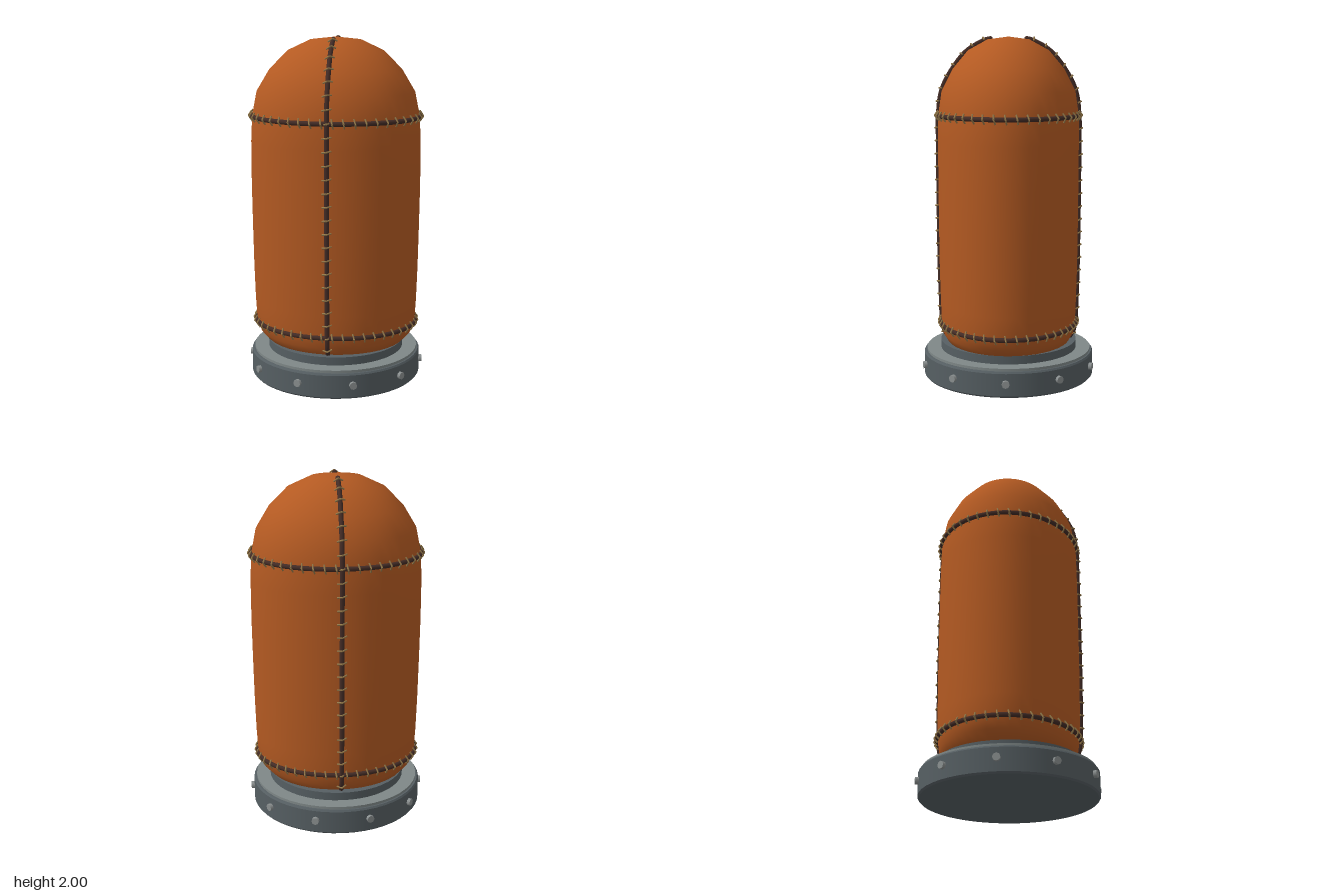
import * as THREE from 'three';
import { mergeGeometries, mergeVertices } from 'three/addons/utils/BufferGeometryUtils.js';

const material = (name, color) => {
  const m = new THREE.MeshStandardMaterial({ color });
  m.name = name;
  return m;
};

// Body profile: [height, half width, half depth]
const PROFILE = [
  [0.2, 0, 0], [0.2, 0.38, 0.34], [0.215, 0.41, 0.365], [0.26, 0.455, 0.39], [0.33, 0.476, 0.4],
  [0.45, 0.483, 0.404], [0.65, 0.489, 0.409], [0.9, 0.493, 0.411], [1.15, 0.496, 0.412],
  [1.4, 0.495, 0.412], [1.55, 0.487, 0.41], [1.69, 0.459, 0.389], [1.815, 0.384, 0.325],
  [1.922, 0.278, 0.235], [1.984, 0.146, 0.122], [2, 0, 0],
];

// Lathe squashed to an ellipse row by row
function bodyGeometry() {
  const geo = new THREE.LatheGeometry(PROFILE.map(([y, a]) => new THREE.Vector2(a, y)), 40);
  const pos = geo.attributes.position;
  for (let i = 0; i < pos.count; i++) {
    const [, a, c] = PROFILE[i % PROFILE.length];
    if (a > 0) pos.setZ(i, pos.getZ(i) * c / a);
  }
  geo.deleteAttribute('uv');
  geo.deleteAttribute('normal');
  const merged = mergeVertices(geo, 1e-5);
  merged.computeVertexNormals();
  return merged;
}

// Thin bar between two points
function bar(a, b, radius) {
  const dir = b.clone().sub(a);
  const geo = new THREE.CylinderGeometry(radius, radius, dir.length(), 6);
  geo.applyQuaternion(new THREE.Quaternion().setFromUnitVectors(new THREE.Vector3(0, 1, 0), dir.normalize()));
  const mid = a.clone().add(b).multiplyScalar(0.5);
  return geo.translate(mid.x, mid.y, mid.z);
}

// Bent stitches over a cord; side points across it
function stitchGeometry(curve, count, side) {
  const parts = [];
  for (let i = 0; i < count; i++) {
    const t = (i + 0.5) / count;
    const p = curve.getPointAt(t);
    const along = curve.getTangentAt(t);
    const out = side.clone().cross(along).normalize();
    const apex = p.clone().addScaledVector(out, 0.018);
    for (const s of [-1, 1]) {
      const end = p.clone().addScaledVector(side, s * 0.026).addScaledVector(along, s * 0.005);
      parts.push(bar(end, apex, 0.005));
    }
  }
  return mergeGeometries(parts);
}

export function createModel() {
  const model = new THREE.Group();
  model.name = 'stitchedPunchingBag';
  const leather = material('orange leather', 0xb45a22);
  const cordMat = material('dark brown cord', 0x432c26);
  const thread = material('tan thread', 0x94794a);
  const steel = material('dark steel', 0x565f63);
  const lipMat = material('grey steel', 0x7f8888);
  const boltMat = material('bolt metal', 0x8c9191);

  const add = (name, geo, mat, parent = model) => {
    const mesh = new THREE.Mesh(geo, mat);
    mesh.name = name;
    parent.add(mesh);
    return mesh;
  };
  const disc = (name, radius, y0, y1, mat) =>
    add(name, new THREE.CylinderGeometry(radius, radius, y1 - y0, 48).translate(0, (y0 + y1) / 2, 0), mat);

  // Base
  const rim = [[0, 0], [0.496, 0], [0.505, 0.01], [0.505, 0.14], [0.498, 0.15], [0, 0.15]];
  for (let i = 0; i < rim.length - 1; i++) {
    const pts = [rim[i], rim[i + 1]].map(([r, y]) => new THREE.Vector2(r, y));
    add('basePlate', new THREE.LatheGeometry(pts, 48), steel);
  }
  disc('baseLip', 0.488, 0.15, 0.165, lipMat);
  disc('neck', 0.405, 0.165, 0.213, steel);

  // Bolts around the base
  const bolts = new THREE.Group();
  bolts.name = 'bolts';
  model.add(bolts);
  for (let i = 0; i < 10; i++) {
    const geo = new THREE.CylinderGeometry(0.022, 0.022, 0.04, 8);
    geo.rotateZ(Math.PI / 2).translate(0.503, 0.083, 0).rotateY(i * Math.PI / 5);
    add('bolt', geo, boltMat, bolts);
  }

  // Body
  add('body', bodyGeometry(), leather);

  // Seams: cord with stitches
  const seam = (name, curve, count, side, closed) => {
    const group = new THREE.Group();
    group.name = name;
    model.add(group);
    add('cord', new THREE.TubeGeometry(curve, 80, 0.0135, 8, closed), cordMat, group);
    add('stitches', stitchGeometry(curve, count, side), thread, group);
    if (!closed) {
      for (const t of [0, 1]) {
        const cap = new THREE.SphereGeometry(0.0135, 8, 6);
        add('cordEnd', cap, cordMat, group).position.copy(curve.getPointAt(t));
      }
    }
  };

  // Vertical seams, front and back
  for (const s of [1, -1]) {
    const pts = PROFILE.slice(2, -1).map(([y, , c]) => new THREE.Vector3(0, y + 0.002, s * (c + 0.002)));
    pts.push(new THREE.Vector3(0, 1.989, s * 0.105));
    seam(s > 0 ? 'frontSeam' : 'backSeam', new THREE.CatmullRomCurve3(pts), 25, new THREE.Vector3(s, 0, 0), false);
  }

  // Horizontal seams
  for (const [name, y, a, c] of [['upperSeam', 1.55, 0.49, 0.412], ['lowerSeam', 0.325, 0.478, 0.403]]) {
    const pts = Array.from({ length: 32 }, (_, i) => {
      const t = i / 32 * Math.PI * 2;
      return new THREE.Vector3(a * Math.sin(t), y, c * Math.cos(t));
    });
    seam(name, new THREE.CatmullRomCurve3(pts, true), 46, new THREE.Vector3(0, -1, 0), true);
  }
  return model;
}
